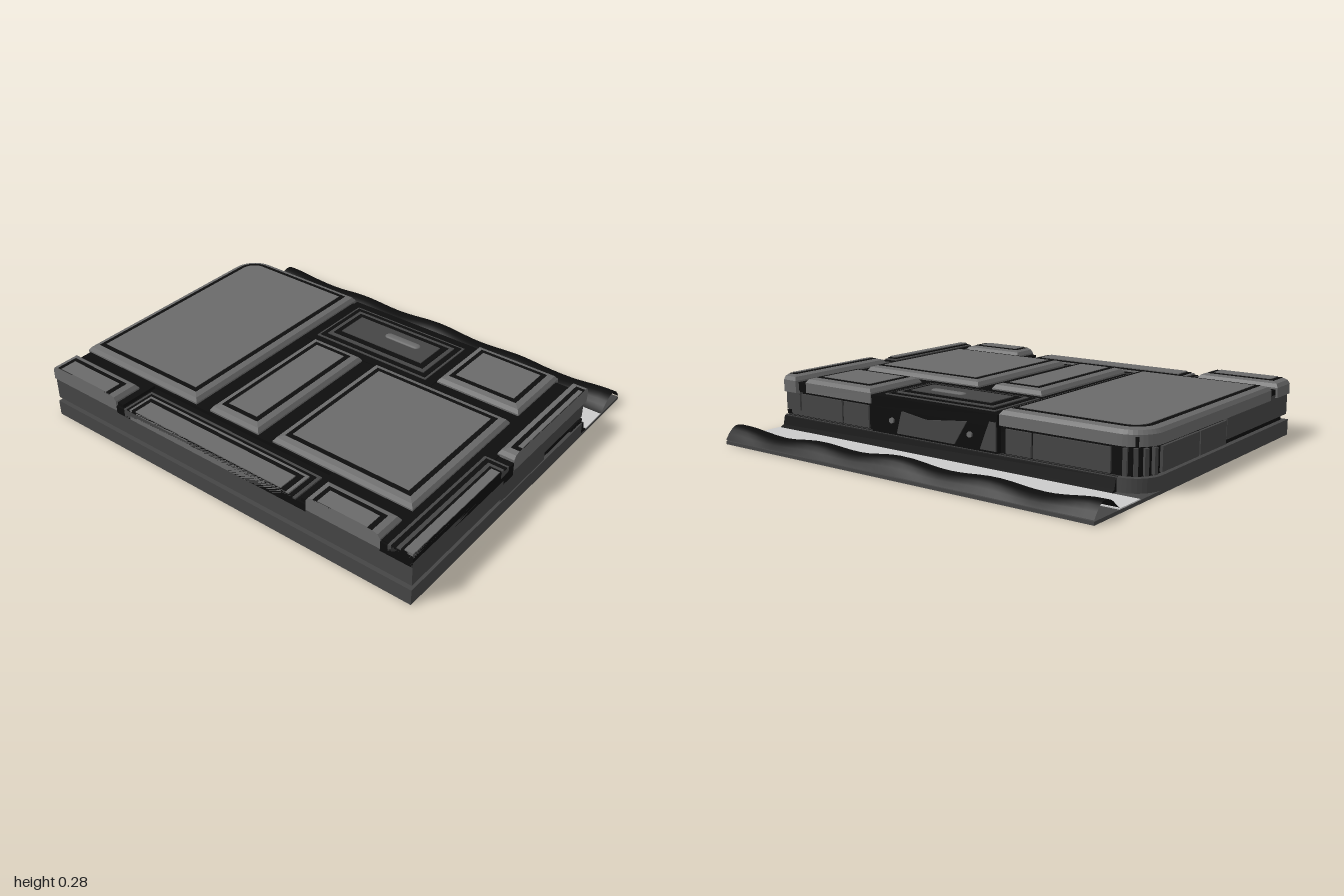
import * as THREE from 'three';

const mat = (name, color, side = THREE.FrontSide) => {
  const m = new THREE.MeshStandardMaterial({ color, side });
  m.name = name;
  return m;
};

export function createModel() {
  const model = new THREE.Group();
  const grey = mat('panel grey', 0x6a6a6a);
  const dark = mat('body dark grey', 0x454545);
  const black = mat('black', 0x0d0d0d, THREE.DoubleSide);
  const light = mat('light strip', 0xcbcbcb);

  const add = (name, geo, m, parent = model) => {
    const mesh = new THREE.Mesh(geo, m);
    mesh.name = name;
    parent.add(mesh);
    return mesh;
  };
  // box from its limits
  const box = (name, m, x0, x1, y0, y1, z0, z1, parent) =>
    add(name, new THREE.BoxGeometry(x1 - x0, y1 - y0, z1 - z0), m, parent)
      .position.set((x0 + x1) / 2, (y0 + y1) / 2, (z0 + z1) / 2);

  // outline of a rectangle, optionally rounded at its +x -z corner
  const outline = ([x0, x1, z0, z1], r, y) => {
    const pts = [[x0, y, z0], [x0, y, z1], [x1, y, z1]];
    if (!r) pts.push([x1, y, z0]);
    else for (let i = 0; i <= 10; i++) {
      const a = (i / 10) * Math.PI / 2;
      pts.push([x1 - r + r * Math.cos(a), y, z0 + r - r * Math.sin(a)]);
    }
    return pts;
  };
  // flat-shaded loft through levels of [y, rectangle, radius], capped on both ends
  const loft = (levels) => {
    const loops = levels.map(([y, rect, r]) => outline(rect, r, y));
    const v = [], n = loops[0].length;
    for (let i = 0; i < n; i++) {
      const j = (i + 1) % n;
      for (let k = 0; k + 1 < loops.length; k++) {
        const p = loops[k], q = loops[k + 1];
        v.push(...p[i], ...p[j], ...q[j], ...p[i], ...q[j], ...q[i]);
      }
      const b = loops[0], t = loops[loops.length - 1];
      if (i > 0 && j > 0) v.push(...t[0], ...t[i], ...t[j], ...b[0], ...b[j], ...b[i]);
    }
    const g = new THREE.BufferGeometry();
    g.setAttribute('position', new THREE.Float32BufferAttribute(v, 3));
    g.computeVertexNormals();
    return g;
  };
  // shrink a rectangle by d, except on sides that run to the tile edge
  const inset = ([x0, x1, z0, z1], d, open = '') => [
    x0 + (open.includes('l') ? 0 : d), x1 - d,
    z0 + d, z1 - (open.includes('f') ? 0 : d)];

  // base plate and light strip
  box('basePlate', dark, -0.86, 0.855, 0, 0.015, -1, 1);
  box('lightStrip', light, 0.53, 0.68, 0.015, 0.02, -1, 1);

  // body: lower slab, groove core, upper slab
  add('lowerSlab', loft([[0.015, [-0.86, 0.49, -1, 1], 0.13], [0.075, [-0.86, 0.49, -1, 1], 0.13]]), dark);
  add('grooveCore', loft([[0.075, [-0.83, 0.465, -0.975, 0.985], 0.11], [0.21, [-0.83, 0.465, -0.975, 0.985], 0.11]]), black);
  box('upperSlabRight', dark, -0.86, -0.22, 0.1, 0.215, -0.99, 1);
  box('frontSlab', dark, -0.22, 0.14, 0.075, 0.19, 0.9, 0.995);
  box('frontInset', dark, 0.14, 0.485, 0.105, 0.19, 0.9, 0.99);
  for (let i = 0; i < 4; i++) {
    const x = 0.38 + i * 0.027;
    box('frontVent', black, x, x + 0.018, 0.08, 0.1, 0.98, 0.996);
  }

  // black floor seen in the gaps between panels
  box('gapFloor', black, -0.66, 0.47, 0.2, 0.24, -0.95, 0.93);
  for (const [z0, z1] of [[-0.99, -0.55], [0.46, 0.93]])
    box('sideGapFloor', black, -0.85, -0.64, 0.2, 0.24, z0, z1);

  // raised panels with chamfered rims, black inlay and centre plate
  const panel = (name, rect, open = '', r = 0, y0 = 0.2) => {
    const g = new THREE.Group();
    g.name = name;
    model.add(g);
    const rad = (d) => (r ? r - d : 0);
    const at = (d) => inset(rect, d, open);
    add('rim', loft([[y0, rect, r], [0.248, rect, r], [0.265, at(0.012), rad(0.012)],
      [0.272, at(0.036), rad(0.036)]]), grey, g);
    add('inlay', loft([[0.268, at(0.038), rad(0.038)], [0.2735, at(0.038), rad(0.038)]]), black, g);
    add('plate', loft([[0.269, at(0.06), rad(0.06)], [0.276, at(0.06), rad(0.06)]]), grey, g);
  };
  panel('backPanel', [-0.65, 0.49, -1, -0.3], '', 0.13);
  panel('narrowPanel', [-0.65, 0.07, -0.22, 0.06]);
  panel('middlePanel', [-0.65, 0.07, 0.14, 0.85]);
  panel('smallPanel', [0.14, 0.49, 0.43, 0.85]);
  panel('frontPanel', [-0.145, 0.49, 0.92, 1], 'f', 0, 0.19);
  panel('backEdgePanel', [-0.86, -0.72, -1, -0.585], 'l');
  panel('frontEdgePanel', [-0.86, -0.72, 0.49, 0.85], 'l');

  // stepped bays made of nested frames
  const bay = (name, rect, open, steps) => {
    const g = new THREE.Group();
    g.name = name;
    model.add(g);
    for (const [d, y, m] of steps)
      add('step', loft([[0.19, inset(rect, d, open), 0], [y, inset(rect, d, open), 0]]), m, g);
  };
  bay('sideBay', [-0.86, -0.645, -0.585, 0.49], 'l',
    [[0, 0.225, black], [0.05, 0.232, dark], [0.065, 0.235, black], [0.085, 0.242, grey], [0.1, 0.245, black], [0.125, 0.25, grey]]);
  bay('frontBay', [-0.86, -0.15, 0.85, 1], 'lf',
    [[0, 0.235, black], [0.035, 0.242, dark], [0.05, 0.246, black], [0.075, 0.251, dark], [0.095, 0.255, black], [0.11, 0.26, grey]]);
  bay('hatch', [0.075, 0.49, -0.29, 0.425], '',
    [[0, 0.243, black], [0.045, 0.247, dark], [0.055, 0.249, black], [0.08, 0.253, dark],
      [0.1, 0.256, black], [0.128, 0.26, dark]]);
  box('frontBayEnd', black, -0.22, -0.145, 0.17, 0.235, 0.9, 1);

  // hatch handle
  const handle = add('hatchHandle', new THREE.CapsuleGeometry(0.022, 0.15, 4, 12), grey);
  handle.rotation.x = Math.PI / 2;
  handle.scale.z = 0.35;
  handle.position.set(0.303, 0.26, 0.125);

  // side wall: dark plates, sloped foot, and a faceted bay
  for (const [z0, z1] of [[0.46, 0.62], [0.63, 0.97], [-0.45, -0.32], [-0.83, -0.46]])
    box('wallPlate', dark, 0.46, 0.474, 0.08, 0.185, z0, z1);
  for (const [x0, x1] of [[-0.22, 0.02], [0.03, 0.34]])
    box('backWallPlate', dark, x0, x1, 0.08, 0.185, -0.988, -0.97);
  for (let i = 0; i < 4; i++) {
    const a = 0.25 + i * 0.35;
    const rib = add('cornerRib', new THREE.BoxGeometry(0.025, 0.11, 0.018), dark);
    rib.position.set(0.355 + 0.115 * Math.cos(a), 0.135, -0.865 - 0.115 * Math.sin(a));
    rib.rotation.y = a;
  }
  const foot = new THREE.Shape([[0.48, 0.015], [0.53, 0.015], [0.505, 0.028], [0.495, 0.07], [0.48, 0.078]]
    .map(([x, y]) => new THREE.Vector2(x, y)));
  const footMesh = add('wallFoot', new THREE.ExtrudeGeometry(foot, { depth: 1.87, bevelEnabled: false }), black);
  footMesh.position.z = -0.87;
  box('bayWall', black, 0.44, 0.488, 0.07, 0.242, -0.29, 0.425);
  const plate = (name, pts) => {
    const s = new THREE.Shape(pts.map(([z, y]) => new THREE.Vector2(-z, y)));
    const m = add(name, new THREE.ExtrudeGeometry(s, { depth: 0.008, bevelEnabled: false }), dark);
    m.rotation.y = Math.PI / 2;
    m.position.x = 0.486;
  };
  plate('bayFacet', [[0.27, 0.085], [-0.06, 0.085], [-0.13, 0.195], [0.1, 0.17], [0.24, 0.19]]);
  plate('bayFacetBack', [[-0.2, 0.085], [-0.285, 0.085], [-0.285, 0.21], [-0.25, 0.21]]);
  for (const z of [0.3, -0.145]) {
    const bolt = add('bayBolt', new THREE.CylinderGeometry(0.013, 0.013, 0.012, 12), grey);
    bolt.rotation.z = Math.PI / 2;
    bolt.position.set(0.492, 0.14, z);
  }

  // uneven rounded ridge along the outer edge
  const ridge = new THREE.PlaneGeometry(0.185, 2, 10, 40).rotateX(-Math.PI / 2);
  const profile = [0.016, 0.025, 0.04, 0.058, 0.07, 0.077, 0.08, 0.077, 0.065, 0.045, 0.016];
  const p = ridge.attributes.position;
  for (let i = 0; i < p.count; i++) {
    const z = p.getZ(i), wave = 0.78 + 0.14 * Math.cos(z * 13) + 0.08 * Math.cos(z * 5);
    p.setY(i, 0.016 + (profile[i % 11] - 0.012) * wave);
  }
  ridge.computeVertexNormals();
  add('outerRidge', ridge, black).position.x = 0.7625;

  return model;
}
